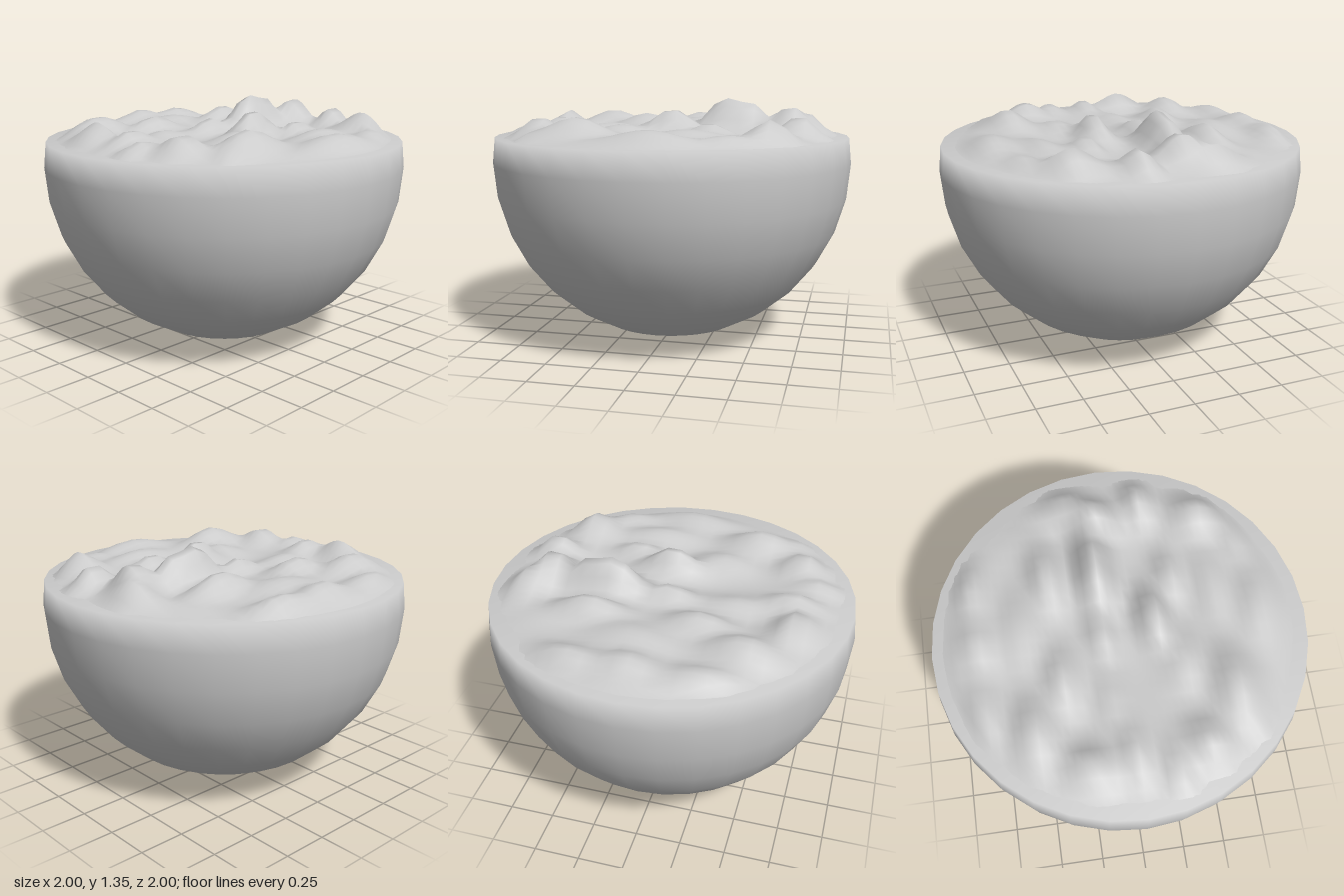
import * as THREE from 'three';
import { mergeVertices } from 'three/addons/utils/BufferGeometryUtils.js';

const RIM_Y = 1.14;
const RIM_R = 0.986;
const GROUND_R = 0.965;

// Hills: x, z, height above the rim, half-width in x, half-width in z
const hills = [
  [0.29, -0.09, 0.205, 0.12, 0.08], [0.43, -0.09, 0.17, 0.11, 0.08],
  [0.66, -0.05, 0.165, 0.08, 0.11], [0.75, -0.18, 0.11, 0.08, 0.13],
  [0.73, 0.2, 0.11, 0.1, 0.07], [0.62, 0.5, 0.12, 0.1, 0.12],
  [0.04, 0.18, 0.145, 0.13, 0.07], [0.0, -0.1, 0.085, 0.11, 0.06],
  [-0.22, -0.33, 0.095, 0.15, 0.08], [0.35, -0.35, 0.105, 0.16, 0.08],
  [-0.38, 0.54, 0.125, 0.16, 0.1], [-0.65, 0.35, 0.105, 0.1, 0.11],
  [-0.66, -0.02, 0.085, 0.12, 0.07], [-0.75, 0.18, 0.06, 0.12, 0.07],
  [-0.7, -0.25, 0.105, 0.08, 0.13], [-0.5, -0.5, 0.1, 0.16, 0.1],
  [0.05, 0.74, 0.07, 0.2, 0.1], [0.27, 0.3, 0.08, 0.11, 0.06],
  [0.03, -0.75, 0.085, 0.13, 0.09], [-0.35, -0.74, 0.065, 0.17, 0.09],
  [0.32, -0.76, 0.07, 0.17, 0.09], [0.08, -0.5, 0.06, 0.2, 0.12],
  [-0.38, -0.1, 0.05, 0.14, 0.08], [-0.2, 0.3, 0.06, 0.14, 0.1],
  [0.2, 0.52, 0.06, 0.18, 0.09], [-0.6, 0.64, 0.05, 0.09, 0.08],
  [0.42, 0.68, 0.05, 0.14, 0.08], [0.0, -0.88, 0.03, 0.3, 0.06]
];

// Hills blend by a soft maximum over a ground that dips under the rim at the edge
function terrainHeight(x, z) {
  const r = Math.hypot(x, z);
  const inside = 1 - THREE.MathUtils.smoothstep(r, 0.78, 0.95);
  const edge = 1 - THREE.MathUtils.smoothstep(r, 0.86, 0.965);
  let sum = 0;
  for (const [hx, hz, h, sx, sz] of hills) {
    const d = ((x - hx) / sx) ** 2 + ((z - hz) / sz) ** 2;
    sum += (h * Math.exp(-d * 0.7)) ** 3;
  }
  const ripple = 0.008 * Math.sin(9 * x + 3 * z) * Math.sin(13 * z - 2 * x);
  return RIM_Y - 0.008 + inside * (0.022 + ripple) + edge * Math.cbrt(sum) * 0.97;
}

export function createModel() {
  const group = new THREE.Group();
  const material = new THREE.MeshStandardMaterial({ color: 0xcccccc });

  // Round bowl, closed with a flat top; the profile runs from the bottom up
  const profile = [];
  for (let i = 0; i <= 8; i++) {
    const a = (i / 8) * Math.PI / 2;
    profile.push(new THREE.Vector2(Math.sin(a), 1 - Math.cos(a)));
  }
  profile.push(new THREE.Vector2(RIM_R, RIM_Y), new THREE.Vector2(0, RIM_Y));

  // Welded so the large flat top softens the shading over the rim
  let shell = new THREE.LatheGeometry(profile, 32);
  shell.deleteAttribute('uv');
  shell.deleteAttribute('normal');
  shell = mergeVertices(shell, 1e-4);
  shell.computeVertexNormals();
  const bowl = new THREE.Mesh(shell, material);
  bowl.name = 'bowl';
  group.add(bowl);

  // Hilly surface: a square grid lifted by the height rule,
  // with everything outside the rim drawn in to a circle
  const ground = new THREE.PlaneGeometry(2, 2, 26, 50);
  ground.rotateX(-Math.PI / 2);
  const p = ground.attributes.position;
  for (let i = 0; i < p.count; i++) {
    const x = p.getX(i), z = p.getZ(i);
    const k = Math.min(1, GROUND_R / Math.max(Math.hypot(x, z), 0.001));
    p.setXYZ(i, x * k, terrainHeight(x * k, z * k), z * k);
  }
  ground.computeVertexNormals();
  const terrain = new THREE.Mesh(ground, material);
  terrain.name = 'terrain';
  group.add(terrain);

  return group;
}
